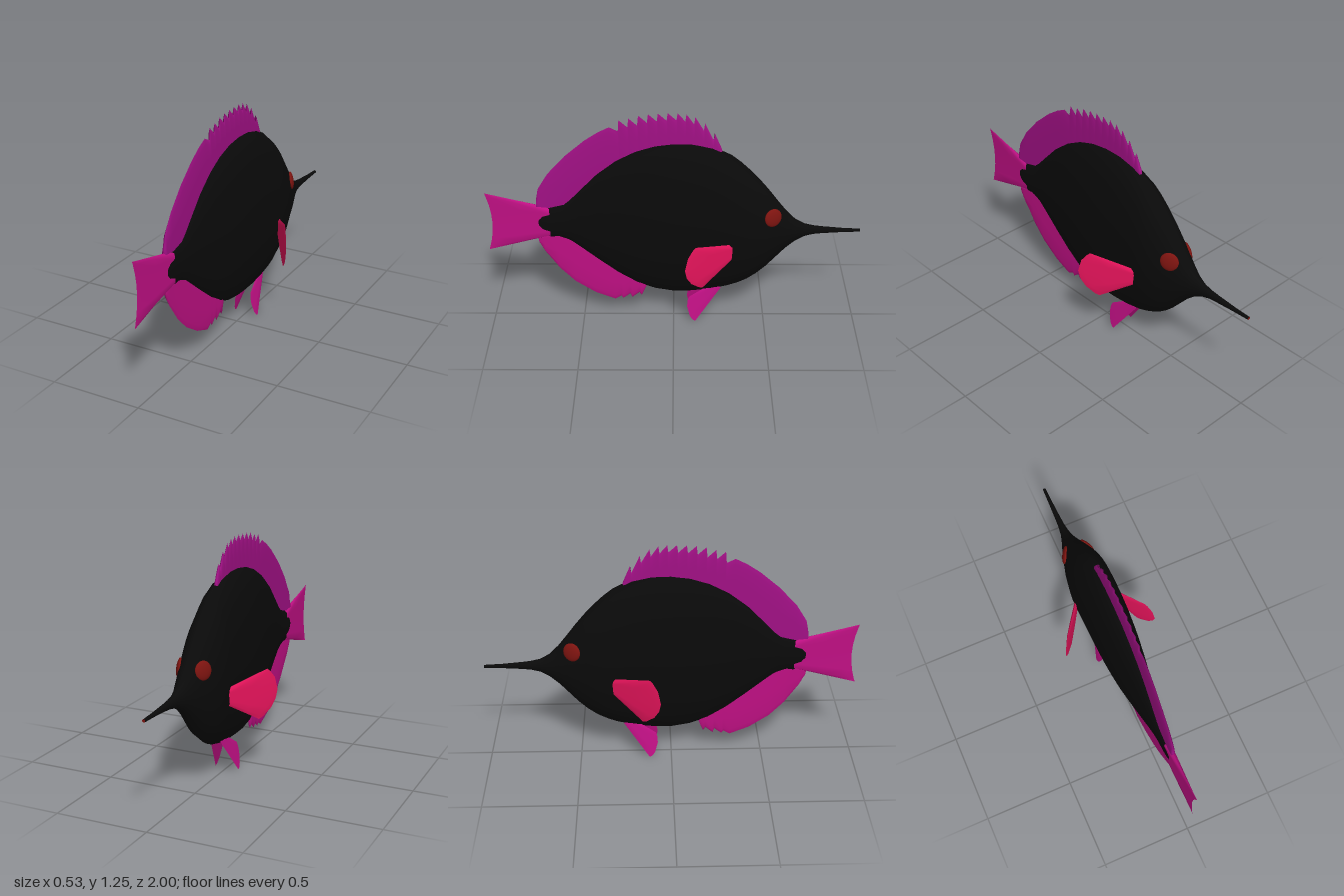
import * as THREE from 'three';

const mat = (name, color, side = THREE.FrontSide) => {
  const m = new THREE.MeshStandardMaterial({ color, side });
  m.name = name;
  return m;
};

// Body stations: z, top y, bottom y, half width
const STATIONS = [
  [-1, 0.568, 0.552, 0.008], [-0.9, 0.573, 0.549, 0.011], [-0.8, 0.582, 0.543, 0.015],
  [-0.75, 0.588, 0.538, 0.018], [-0.7, 0.6, 0.525, 0.024], [-0.65, 0.628, 0.495, 0.038],
  [-0.6, 0.68, 0.45, 0.056], [-0.55, 0.745, 0.392, 0.072], [-0.5, 0.812, 0.333, 0.085],
  [-0.45, 0.873, 0.285, 0.098], [-0.4, 0.927, 0.247, 0.107], [-0.35, 0.975, 0.22, 0.112],
  [-0.3, 1.015, 0.2, 0.112], [-0.2, 1.065, 0.176, 0.109], [-0.1, 1.088, 0.164, 0.105],
  [0, 1.091, 0.162, 0.1], [0.1, 1.078, 0.18, 0.091], [0.2, 1.047, 0.217, 0.079],
  [0.3, 0.995, 0.28, 0.064], [0.4, 0.917, 0.36, 0.05], [0.5, 0.812, 0.445, 0.035],
  [0.55, 0.757, 0.487, 0.029], [0.6, 0.718, 0.51, 0.024], [0.66, 0.703, 0.515, 0.021],
  [0.7, 0.685, 0.535, 0.018], [0.72, 0.655, 0.565, 0.015], [0.73, 0.612, 0.608, 0.004],
];
const SIDES = 16;

// Elliptical cross-sections lofted along z
function bodyGeometry() {
  const pos = [], index = [];
  for (const [z, top, bottom, w] of STATIONS) {
    for (let i = 0; i < SIDES; i++) {
      const a = (i / SIDES) * Math.PI * 2;
      pos.push(w * Math.sin(a), (top + bottom) / 2 + ((top - bottom) / 2) * Math.cos(a), z);
    }
  }
  for (let r = 0; r < STATIONS.length - 1; r++) {
    for (let i = 0; i < SIDES; i++) {
      const j = (i + 1) % SIDES, a = r * SIDES + i, b = r * SIDES + j;
      index.push(a, a + SIDES, b, b, a + SIDES, b + SIDES);
    }
  }
  const g = new THREE.BufferGeometry();
  g.setAttribute('position', new THREE.Float32BufferAttribute(pos, 3));
  g.setIndex(index);
  g.computeVertexNormals();
  return g;
}

// Tapered fin: columns of [base, edge] points in (z, y); xAt leans it out of the middle plane
function finGeometry(columns, thickness, profile, xAt = () => 0, dir = [1, 0, 0]) {
  const pos = [], index = [], rows = profile.length;
  for (const s of [1, -1]) {
    const start = pos.length / 3;
    columns.forEach(([b, e], c) => {
      const end = c === 0 || c === columns.length - 1;
      profile.forEach(([u, k]) => {
        const z = b[0] + (e[0] - b[0]) * u, y = b[1] + (e[1] - b[1]) * u;
        const t = end ? 0 : s * k * thickness;
        pos.push(xAt(z, y) + dir[0] * t, y + dir[1] * t, z + dir[2] * t);
      });
    });
    for (let c = 0; c < columns.length - 1; c++) {
      for (let r = 0; r < rows - 1; r++) {
        const a = start + c * rows + r, d = a + rows;
        if (s > 0) index.push(a, d, a + 1, a + 1, d, d + 1);
        else index.push(a, a + 1, d, a + 1, d + 1, d);
      }
    }
  }
  const g = new THREE.BufferGeometry();
  g.setAttribute('position', new THREE.Float32BufferAttribute(pos, 3));
  g.setIndex(index);
  g.computeVertexNormals();
  return g;
}
const ROUNDED = [[0, 1], [0.5, 0.9], [0.88, 0.6], [1, 0]];
const WEDGE = [[0, 1], [0.5, 0.55], [0.9, 0.15], [1, 0]];

// Value of a polyline of (z, y) points at z, with z falling
function sample(line, z) {
  for (let i = 0; i < line.length - 1; i++) {
    const [z0, y0] = line[i], [z1, y1] = line[i + 1];
    if (z <= z0 && z >= z1) return y0 + ((y1 - y0) * (z - z0)) / (z1 - z0);
  }
  return line[line.length - 1][1];
}
const overBody = (edge, base) => edge.map(([z, y]) => [[z, sample(base, z)], [z, y]]);
const lerp = (a, b, v) => [a[0] + (b[0] - a[0]) * v, a[1] + (b[1] - a[1]) * v];

export function createModel() {
  const black = mat('black skin', 0x0a0a0a);
  const purple = mat('purple fin', 0xa01084, THREE.DoubleSide);
  const magenta = mat('magenta fin', 0xc01084, THREE.DoubleSide);
  const crimson = mat('crimson fin', 0xe8145c, THREE.DoubleSide);
  const red = mat('dark red', 0x7d1410, THREE.DoubleSide);

  const model = new THREE.Group();
  model.name = 'fish';
  const add = (name, geometry, material, parent = model) => {
    const m = new THREE.Mesh(geometry, material);
    m.name = name;
    parent.add(m);
    return m;
  };

  add('body', bodyGeometry(), black);

  // Mouth at the tip of the snout
  const mouth = add('mouth', new THREE.CircleGeometry(0.008, SIDES), red);
  mouth.position.set(0, 0.56, -1);
  mouth.rotation.y = Math.PI;

  // Dorsal fin: smooth rear, then a row of spines
  const dorsalEdge = [[0.73, 0.712], [0.728, 0.745], [0.715, 0.81], [0.66, 0.9], [0.565, 1.005],
    [0.46, 1.095], [0.39, 1.142], [0.33, 1.172], [0.285, 1.15]];
  const spines = [[0.28, 1.212], [0.23, 1.222], [0.18, 1.238], [0.13, 1.246], [0.08, 1.25],
    [0.03, 1.252], [-0.02, 1.252], [-0.065, 1.246], [-0.11, 1.23], [-0.16, 1.195], [-0.21, 1.14]];
  spines.forEach(([z, y], i) => {
    const next = spines[i + 1] || [-0.25, 1.1];
    dorsalEdge.push([z, y], [next[0] + 0.006, Math.min(y, next[1]) - 0.04]);
  });
  dorsalEdge.push([-0.255, 1.03]);
  const dorsalBase = [[0.73, 0.708], [0.6, 0.695], [0.5, 0.78], [0.4, 0.885], [0.3, 0.965],
    [0.2, 1.015], [0, 1.055], [-0.256, 1.02]];
  add('dorsalFin', finGeometry(overBody(dorsalEdge, dorsalBase), 0.011, ROUNDED), purple);

  // Anal fin with three short spines
  const analEdge = [[0.73, 0.505], [0.725, 0.48], [0.695, 0.42], [0.62, 0.31], [0.54, 0.225],
    [0.43, 0.15], [0.325, 0.107], [0.29, 0.128], [0.28, 0.112], [0.24, 0.143], [0.23, 0.118],
    [0.19, 0.152], [0.177, 0.133], [0.145, 0.21]];
  const analBase = [[0.73, 0.509], [0.6, 0.53], [0.5, 0.475], [0.4, 0.39], [0.3, 0.31],
    [0.2, 0.25], [0.14, 0.22]];
  add('analFin', finGeometry(overBody(analEdge, analBase), 0.011, ROUNDED), magenta);

  // Tail fin with a hollow rear edge
  const tail = [0, 0.05, 0.2, 0.35, 0.5, 0.65, 0.8, 0.95, 1].map((v) => {
    const e = lerp([1, 0.783], [1, 0.433], v);
    return [lerp([0.66, 0.697], [0.66, 0.524], v), [e[0] - 0.12 * v * (1 - v), e[1]]];
  });
  add('tailFin', finGeometry(tail, 0.017, WEDGE), magenta);

  // Paired fins and eyes
  const fan = (edge, b0, b1) => edge.map((e, i) => [lerp(b0, b1, i / (edge.length - 1)), e]);
  const pectoral = fan([[-0.115, 0.592], [-0.1, 0.578], [-0.075, 0.54], [-0.06, 0.47], [-0.07, 0.42],
    [-0.095, 0.373], [-0.135, 0.335], [-0.155, 0.325]], [-0.312, 0.527], [-0.305, 0.428]);
  const pelvic = fan([[-0.085, 0.148], [-0.077, 0.125], [-0.075, 0.09], [-0.09, 0.035],
    [-0.105, 0.012], [-0.12, 0.004]], [-0.19, 0.215], [-0.26, 0.205]);
  for (const [s, label] of [[1, 'left'], [-1, 'right']]) {
    add(label + 'PectoralFin', finGeometry(pectoral, 0.008, ROUNDED,
      (z) => s * (0.102 + (z + 0.305) * 0.67), [s * 0.83, 0, -0.56]), crimson);
    add(label + 'PelvicFin', finGeometry(pelvic, 0.006, WEDGE,
      (z, y) => s * (0.03 + (0.2 - y) * 0.195), [s, 0, 0]), magenta);
    const eye = add(label + 'Eye', new THREE.SphereGeometry(0.05, 20, 14), red);
    eye.scale.z = 0.3;
    eye.position.set(s * 0.066, 0.675, -0.525);
    eye.lookAt(s * (0.066 + 0.88), 0.675 + 0.15, -0.525 - 0.42);
  }
  return model;
}
